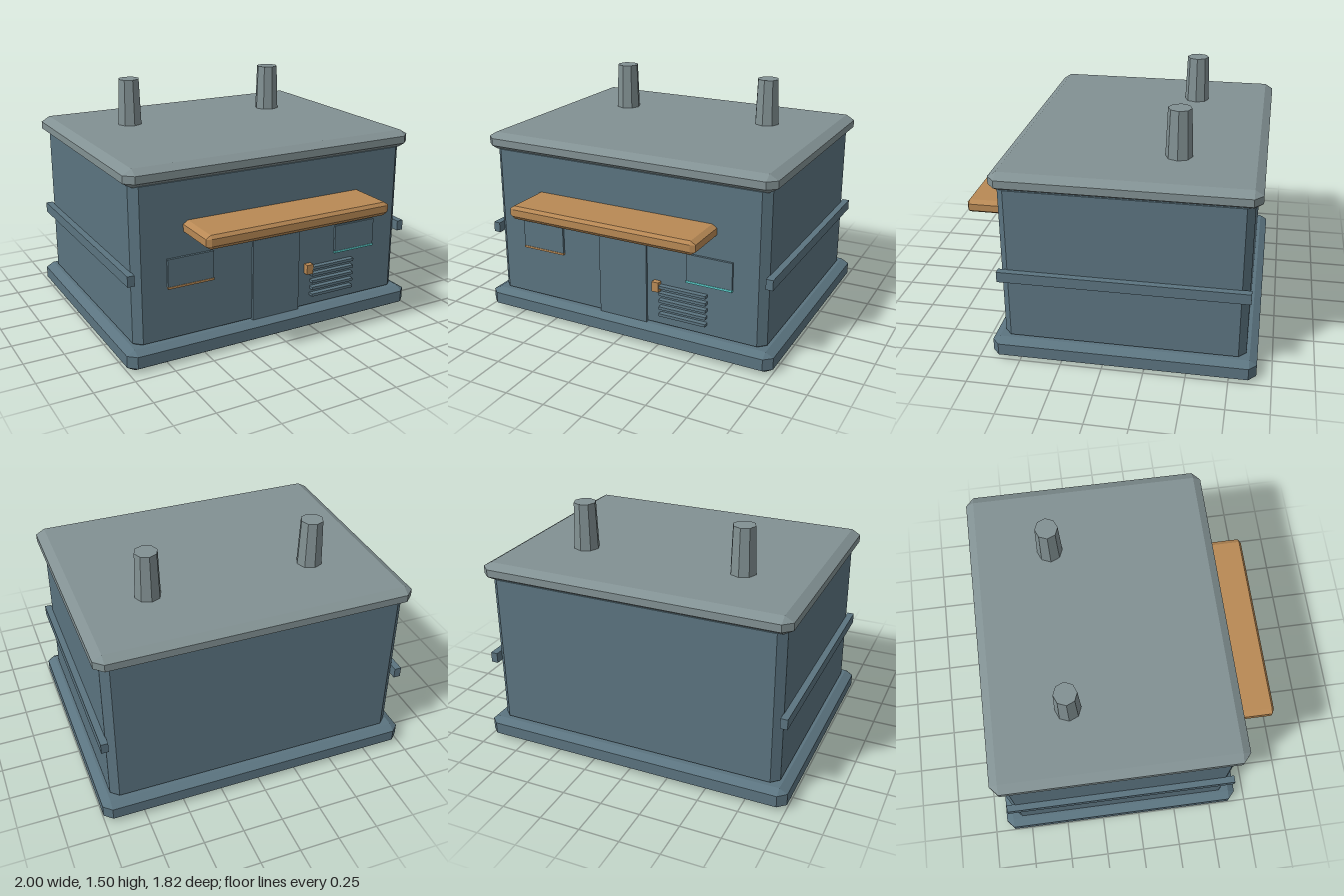
import * as THREE from 'three';
import { ConvexGeometry } from 'three/addons/geometries/ConvexGeometry.js';

const material = (name, color) => {
  const m = new THREE.MeshStandardMaterial({ color });
  m.name = name;
  return m;
};

// Box between two limits on each axis, with every edge cut by [bx, by, bz]
function bevelBox([x0, x1], [y0, y1], [z0, z1], [bx, by, bz]) {
  const c = [(x0 + x1) / 2, (y0 + y1) / 2, (z0 + z1) / 2];
  const w = (x1 - x0) / 2, h = (y1 - y0) / 2, d = (z1 - z0) / 2;
  const points = [];
  for (const sx of [-1, 1]) for (const sy of [-1, 1]) for (const sz of [-1, 1]) {
    for (const [px, py, pz] of [
      [w, h - by, d - bz],
      [w - bx, h, d - bz],
      [w - bx, h - by, d],
    ]) points.push(new THREE.Vector3(c[0] + sx * px, c[1] + sy * py, c[2] + sz * pz));
  }
  return new ConvexGeometry(points);
}

// Plain box between two limits on each axis
function plainBox([x0, x1], [y0, y1], [z0, z1]) {
  return new THREE.BoxGeometry(x1 - x0, y1 - y0, z1 - z0)
    .translate((x0 + x1) / 2, (y0 + y1) / 2, (z0 + z1) / 2);
}

export function createModel() {
  const wall = material('slateWall', 0x5b7480);
  const roofGrey = material('roofGrey', 0x829193);
  const copper = material('copper', 0xb88955);
  const teal = material('teal', 0x5acdca);

  const model = new THREE.Group();
  model.name = 'building';
  const add = (name, geometry, mat) => {
    const mesh = new THREE.Mesh(geometry, mat);
    mesh.name = name;
    model.add(mesh);
    return mesh;
  };

  // Main masses: plinth, walls and roof slab
  add('plinth', bevelBox([-1, 1], [0, 0.13], [-0.91, 0.675], [0.05, 0.028, 0.045]), wall);
  add('walls', bevelBox([-0.935, 0.935], [0.11, 1.12], [-0.845, 0.61], [0.048, 0.028, 0.045]), wall);
  add('roof', bevelBox([-0.975, 0.975], [1.09, 1.2], [-0.885, 0.65], [0.055, 0.032, 0.05]), roofGrey);

  // Chimneys and side rails, mirrored
  for (const s of [-1, 1]) {
    const side = s > 0 ? 'left' : 'right';
    const chimney = add(side + 'Chimney', new THREE.CylinderGeometry(0.07, 0.081, 0.315, 8).toNonIndexed(), roofGrey);
    chimney.geometry.computeVertexNormals();
    chimney.position.set(s * 0.52, 1.3375, -0.38);
    const rail = add(side + 'Rail', plainBox([-0.022, 0.022], [0.52, 0.585], [-0.855, 0.62]), wall);
    rail.position.x = s * 0.953;
  }

  // Awning and lit sign above the door
  add('awning', bevelBox([-0.62, 0.62], [0.77, 0.853], [0.58, 0.905], [0.03, 0.02, 0.015]), copper);
  add('sign', bevelBox([-0.208, 0.208], [0.67, 0.715], [0.6, 0.645], [0.02, 0.012, 0.008]), teal);

  // Door and its key plate
  add('door', plainBox([-0.165, 0.165], [0.11, 0.65], [0.6, 0.625]), wall);
  add('keyPlate', plainBox([0.213, 0.258], [0.36, 0.423], [0.6, 0.645]), copper);

  // Shuttered windows, each with a coloured sill strip
  for (const [side, x, sill] of [['right', -0.58, copper], ['left', 0.58, teal]]) {
    const span = [x - 0.148, x + 0.148];
    add(side + 'Window', plainBox(span, [0.47, 0.64], [0.6, 0.625]), wall);
    add(side + 'WindowSill', plainBox(span, [0.457, 0.47], [0.6, 0.628]), sill);
  }

  // Vent slats
  for (let i = 0; i < 5; i++) {
    const y = 0.21 + i * 0.046;
    add('ventSlat', plainBox([0.257, 0.568], [y - 0.009, y + 0.009], [0.6, 0.643]), wall);
  }

  return model;
}
